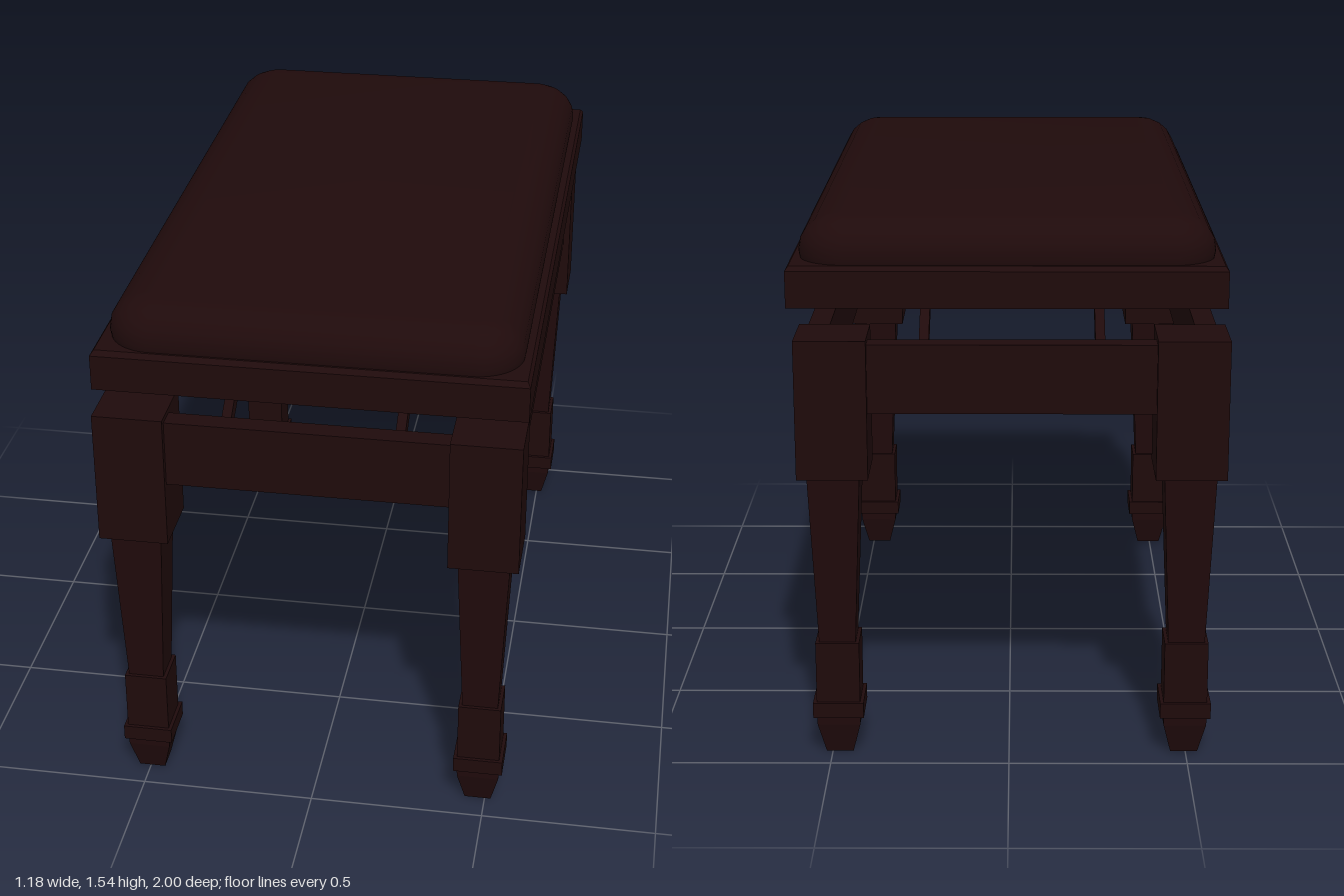
import * as THREE from 'three';
import { toCreasedNormals } from 'three/addons/utils/BufferGeometryUtils.js';

const wood = new THREE.MeshStandardMaterial({ color: 0x1f0a0b });
wood.name = 'dark mahogany';

function add(parent, name, geometry, x = 0, y = 0, z = 0) {
  const mesh = new THREE.Mesh(geometry, wood);
  mesh.name = name;
  mesh.position.set(x, y, z);
  parent.add(mesh);
  return mesh;
}

// Square block from y0 to y1, with half-widths at the bottom and top
function squareTaper(y0, y1, bottom, top) {
  const g = new THREE.CylinderGeometry(top * Math.SQRT2, bottom * Math.SQRT2, y1 - y0, 4)
    .rotateY(Math.PI / 4).translate(0, (y0 + y1) / 2, 0).toNonIndexed();
  g.computeVertexNormals();
  return g;
}

function roundedRect(w, d, r) {
  const s = new THREE.Shape();
  [[1, 1, 0], [-1, 1, 1], [-1, -1, 2], [1, -1, 3]].forEach(([sx, sy, q]) =>
    s.absarc(sx * (w / 2 - r), sy * (d / 2 - r), r, q * Math.PI / 2, (q + 1) * Math.PI / 2, false));
  return s;
}

function createLeg() {
  const leg = new THREE.Group();
  leg.name = 'leg';
  add(leg, 'post', squareTaper(0.827, 1.215, 0.0975, 0.0975));
  add(leg, 'taperedShaft', squareTaper(0.337, 0.827, 0.051, 0.072));
  add(leg, 'ankleBlock', squareTaper(0.16, 0.337, 0.061, 0.061));
  add(leg, 'ankleRing', squareTaper(0.115, 0.16, 0.071, 0.071));
  add(leg, 'footCollar', squareTaper(0.09, 0.115, 0.06, 0.061));
  add(leg, 'foot', squareTaper(0, 0.09, 0.038, 0.06));
  return leg;
}

export function createModel() {
  const model = new THREE.Group();
  model.name = 'pianoBench';

  // Base: legs, rails and lifting struts
  const base = new THREE.Group();
  base.name = 'base';
  base.position.x = -0.008;
  model.add(base);
  for (const s of [-1, 1]) {
    for (const t of [-1, 1]) {
      const leg = createLeg();
      leg.position.set(s * 0.4875, 0, t * 0.881);
      base.add(leg);

      // Strut leaning inward from the end rail to the seat
      const strut = add(base, 'strut', new THREE.BoxGeometry(0.027, 0.042, 0.42), s * 0.241, 1.213, t * 0.755);
      strut.rotation.x = t * Math.atan2(0.22, 0.3);
    }
    add(base, 'sideRail', new THREE.BoxGeometry(0.06, 0.192, 1.6), s * 0.535, 1.105, 0);
    add(base, 'endRail', new THREE.BoxGeometry(0.8, 0.192, 0.06), 0, 1.105, s * 0.93);
  }

  // Seat: frame with a shallow recess below, chamfered top and padded cushion
  const seat = new THREE.Group();
  seat.name = 'seat';
  seat.position.x = 0.005;
  model.add(seat);
  for (const s of [-1, 1]) {
    add(seat, 'sideFrame', new THREE.BoxGeometry(0.06, 0.1, 2), s * 0.555, 1.36, 0);
    add(seat, 'endFrame', new THREE.BoxGeometry(1.05, 0.1, 0.06), 0, 1.36, s * 0.97);
  }
  add(seat, 'seatPanel', new THREE.BoxGeometry(1.05, 0.07, 1.88), 0, 1.375, 0);
  const chamfer = squareTaper(0, 0.012, 1, 0.985).scale(0.585, 1, 1);
  chamfer.computeVertexNormals();
  add(seat, 'seatFrameEdge', chamfer, 0, 1.41, 0);

  // Cushion with a softly rounded edge, its lower half sunk in the frame
  const rise = 0.095, inset = 0.11;
  const pad = new THREE.ExtrudeGeometry(roundedRect(1.12 - 2 * inset, 1.965 - 2 * inset, 0.02), {
    depth: 0.004, bevelThickness: rise, bevelSize: inset, bevelSegments: 5, curveSegments: 6,
  }).rotateX(-Math.PI / 2);
  add(seat, 'cushion', toCreasedNormals(pad, 0.7), 0, 1.54 - rise - 0.004, 0);

  return model;
}
